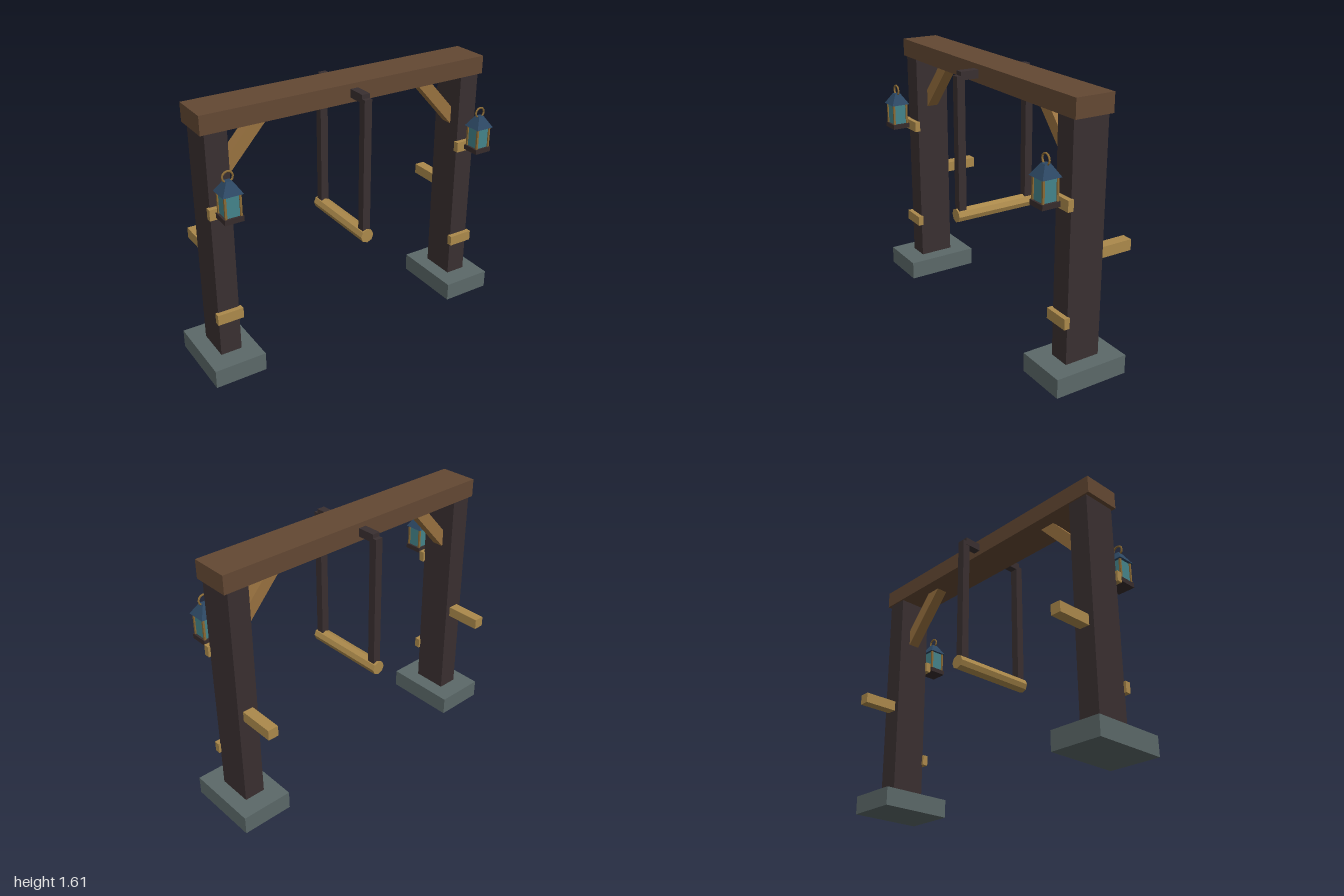
import * as THREE from 'three';

const mat = (name, color) => {
  const m = new THREE.MeshStandardMaterial({ color, flatShading: true });
  m.name = name;
  return m;
};

export function createModel() {
  const stone = mat('stone', 0x5b6868);
  const darkWood = mat('darkWood', 0x392f30);
  const beamWood = mat('beamWood', 0x634833);
  const braceWood = mat('braceWood', 0x98713f);
  const paleWood = mat('paleWood', 0xab894b);
  const brass = mat('brass', 0x8a6a35);
  const roofBlue = mat('roofBlue', 0x2c4763);
  const glass = mat('glass', 0x44838a);
  const iron = mat('iron', 0x372c2c);

  const model = new THREE.Group();
  model.name = 'swingGate';

  const add = (parent, name, geometry, material) => {
    const mesh = new THREE.Mesh(geometry, material);
    mesh.name = name;
    parent.add(mesh);
    return mesh;
  };
  // Box given by its lower and upper bounds on each axis
  const box = (parent, name, material, [x0, x1], [y0, y1], [z0, z1]) => {
    const mesh = add(parent, name, new THREE.BoxGeometry(x1 - x0, y1 - y0, z1 - z0), material);
    mesh.position.set((x0 + x1) / 2, (y0 + y1) / 2, (z0 + z1) / 2);
    return mesh;
  };

  // Lantern: base, glass, corner bars, hipped roof and hanging ring
  const makeLantern = () => {
    const lantern = new THREE.Group();
    lantern.name = 'lantern';
    box(lantern, 'lanternBase', iron, [-0.056, 0.056], [0, 0.03], [-0.056, 0.056]);
    box(lantern, 'lanternGlass', glass, [-0.043, 0.043], [0.03, 0.16], [-0.043, 0.043]);
    for (const x of [-0.044, 0.044]) {
      for (const z of [-0.044, 0.044]) {
        box(lantern, 'lanternBar', brass, [x - 0.006, x + 0.006], [0.03, 0.16], [z - 0.006, z + 0.006]);
      }
    }
    const roofShape = new THREE.CylinderGeometry(0.018 * Math.SQRT2, 0.06 * Math.SQRT2, 0.068, 4);
    roofShape.rotateY(Math.PI / 4);
    add(lantern, 'lanternRoof', roofShape, roofBlue).position.y = 0.192;
    add(lantern, 'lanternRing', new THREE.TorusGeometry(0.031, 0.006, 6, 12), brass).position.y = 0.247;
    return lantern;
  };

  // One side per post
  for (const s of [-1, 1]) {
    const side = new THREE.Group();
    side.name = s < 0 ? 'rightSide' : 'leftSide';
    const c = s * 0.84;
    const about = (half) => [c - half, c + half];
    box(side, 'footing', stone, about(0.16), [0, 0.115], [-0.205, 0.26]);
    box(side, 'post', darkWood, about(0.065), [0.02, 1.5], [-0.085, 0.135]);
    box(side, 'lowerFrontStep', paleWood, about(0.08), [0.345, 0.41], [0.13, 0.165]);
    box(side, 'upperFrontStep', paleWood, about(0.08), [1.018, 1.083], [0.13, 0.165]);
    box(side, 'backPeg', paleWood, about(0.033), [0.68, 0.745], [-0.31, -0.08]);

    // Diagonal brace, its ends sunk into post and beam
    const brace = add(side, 'brace', new THREE.BoxGeometry(0.44, 0.074, 0.074), braceWood);
    brace.position.set(s * 0.655, 1.366, 0.025);
    brace.rotation.z = -s * THREE.MathUtils.degToRad(48);

    const lantern = makeLantern();
    lantern.position.set(s * 0.842, 1.05, 0.2525);
    side.add(lantern);
    model.add(side);
  }

  // Top beam
  box(model, 'beam', beamWood, [-0.93, 0.93], [1.5, 1.61], [-0.095, 0.145]);

  // Swing: cross bar through the beam, two hangers and an eight-sided log
  const swing = new THREE.Group();
  swing.name = 'swing';
  box(swing, 'crossBar', darkWood, [-0.025, 0.025], [1.53, 1.58], [-0.205, 0.26]);
  for (const z of [-0.205, 0.26]) {
    box(swing, 'hanger', darkWood, [-0.0245, 0.0245], [0.73, 1.555], [z - 0.025, z + 0.025]);
  }
  const log = add(swing, 'log', new THREE.CylinderGeometry(0.043, 0.043, 0.54, 8), paleWood);
  log.rotation.x = Math.PI / 2;
  log.position.set(0, 0.713, 0.025);
  model.add(swing);

  return model;
}
